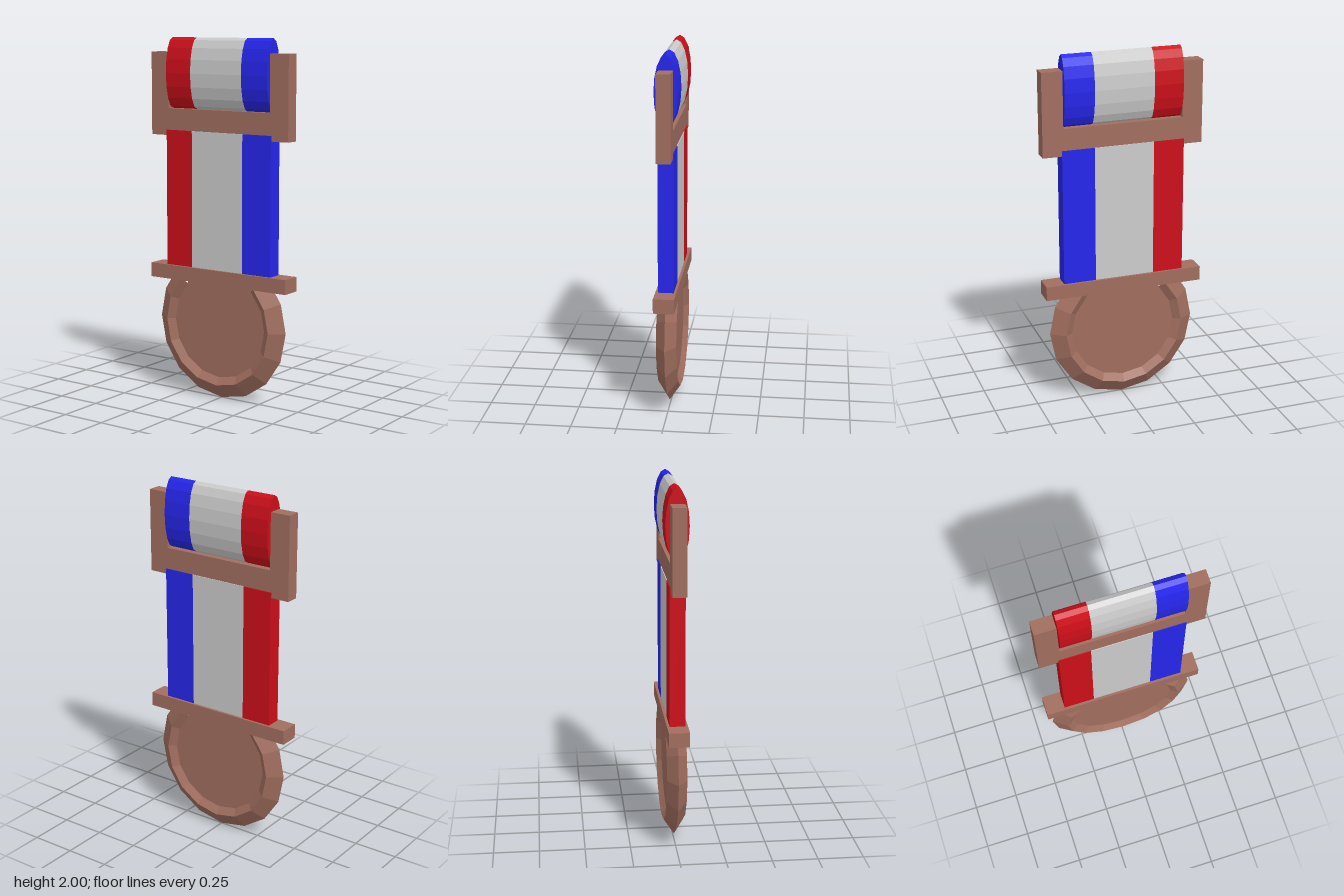
import * as THREE from 'three';

const material = (color) => new THREE.MeshStandardMaterial({ color, flatShading: true });

export function createModel() {
  const model = new THREE.Group();
  const bronze = material(0xa16e5f);
  const red = material(0xcc0f1a);
  const grey = material(0xcccccc);
  const blue = material(0x2626ec);

  const add = (name, geometry, mat, parent = model) => {
    const mesh = new THREE.Mesh(geometry, mat);
    mesh.name = name;
    parent.add(mesh);
    return mesh;
  };

  // Medal rim: diamond section swept round 12 of 16 sides, ends hidden in the lower bar
  const radius = 0.34, centreY = 0.42;
  const rim = add('medalRim', new THREE.TorusGeometry(radius, 0.08, 4, 12, Math.PI * 1.5), bronze);
  rim.rotation.z = Math.PI * 0.75;
  rim.scale.z = 0.055 / 0.08;
  rim.position.y = centreY;

  // Recessed medal face, cut off inside the lower bar
  const face = new THREE.Shape();
  face.moveTo(-0.21, 0.27);
  for (let i = 0; i <= 12; i++) {
    const a = Math.PI * 0.75 + (i * Math.PI) / 8;
    face.lineTo(0.3 * Math.cos(a), 0.3 * Math.sin(a));
  }
  face.lineTo(0.21, 0.27);
  const disc = new THREE.ExtrudeGeometry(face, { depth: 0.054, bevelEnabled: false });
  add('medalFace', disc.translate(0, centreY, -0.027), bronze);

  // Lower bar
  add('lowerBar', new THREE.BoxGeometry(0.9, 0.08, 0.112).translate(0, 0.69, 0), bronze);

  // U-shaped hanger
  const outline = [[-0.45, 1.46], [0.45, 1.46], [0.45, 1.92], [0.335, 1.92],
    [0.335, 1.61], [-0.335, 1.61], [-0.335, 1.92], [-0.45, 1.92]];
  const hanger = new THREE.Shape(outline.map(([x, y]) => new THREE.Vector2(x, y)));
  add('hanger', new THREE.ExtrudeGeometry(hanger, { depth: 0.076, bevelEnabled: false })
    .translate(0, 0, -0.038), bronze);

  // Ribbon: three flat stripes below the hanger, three rolled ones on top
  const ribbon = new THREE.Group();
  ribbon.name = 'ribbon';
  const roll = new THREE.Group();
  roll.name = 'ribbonRoll';
  model.add(ribbon, roll);

  const stripes = [
    ['red', red, [-0.345, -0.172], [-0.332, -0.167]],
    ['grey', grey, [-0.172, 0.163], [-0.167, 0.167]],
    ['blue', blue, [0.163, 0.345], [0.167, 0.332]],
  ];
  for (const [name, mat, [f0, f1], [r0, r1]] of stripes) {
    add(name + 'Stripe', new THREE.BoxGeometry(f1 - f0, 0.77, 0.084)
      .translate((f0 + f1) / 2, 1.105, 0), mat, ribbon);
    const tube = new THREE.CylinderGeometry(1, 1, r1 - r0, 16)
      .rotateZ(Math.PI / 2)
      .scale(1, 0.195, 0.063)
      .translate((r0 + r1) / 2, 1.805, 0);
    add(name + 'Roll', tube, mat, roll);
  }

  return model;
}
